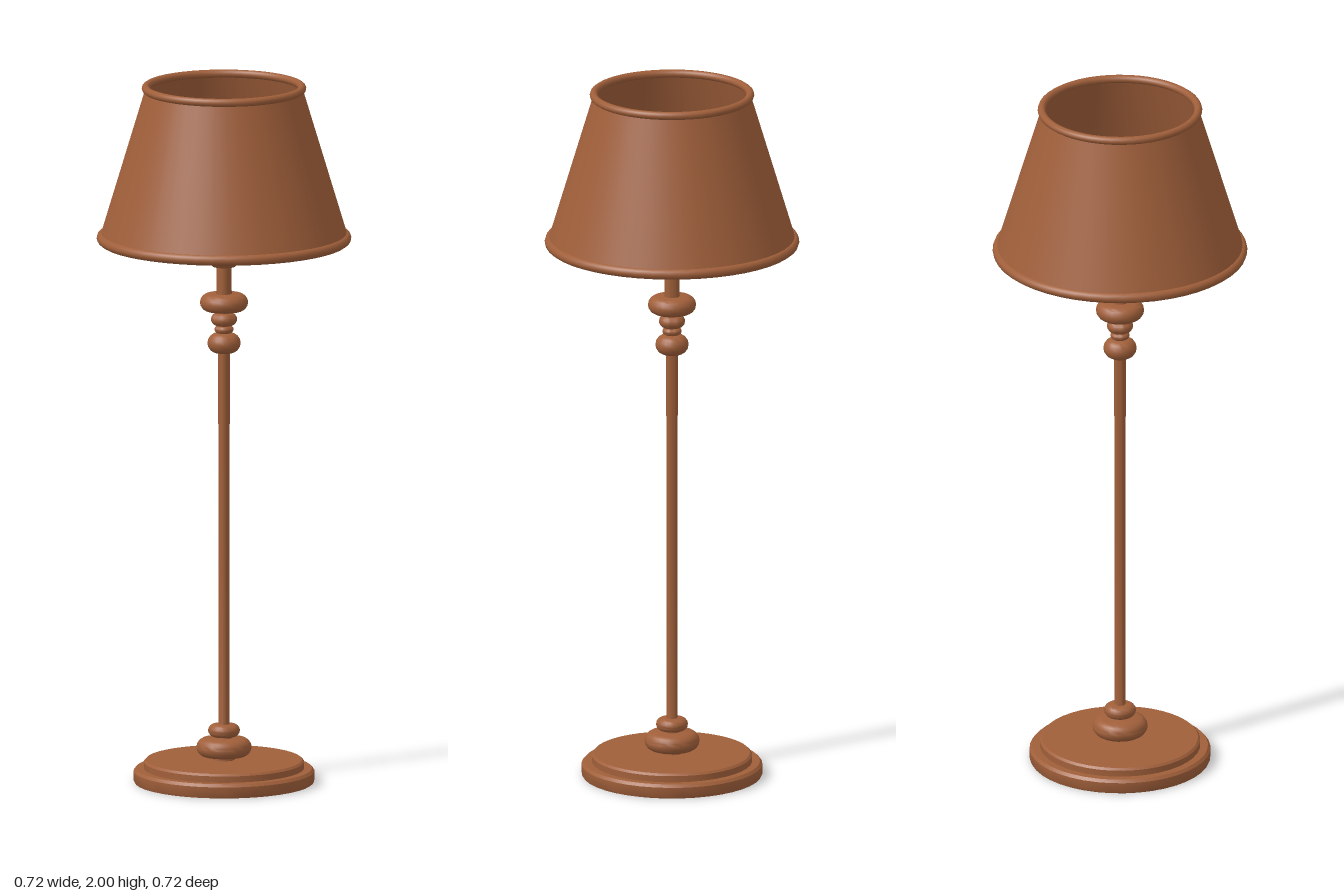
import * as THREE from 'three';
import { toCreasedNormals } from 'three/addons/utils/BufferGeometryUtils.js';

export function createModel() {
  const lamp = new THREE.Group();
  lamp.name = 'floorLamp';
  const brown = new THREE.MeshStandardMaterial({ color: 0xa05f3a });
  brown.name = 'warm brown';

  const add = (name, geometry, y = 0) => {
    const mesh = new THREE.Mesh(geometry, brown);
    mesh.name = name;
    mesh.position.y = y;
    lamp.add(mesh);
    return mesh;
  };
  // Turned part from [radius, height] pairs, listed bottom to top
  const turned = (name, points, segments = 32) => add(name, toCreasedNormals(
    new THREE.LatheGeometry(points.map(([r, y]) => new THREE.Vector2(r, y)), segments), 0.7));
  // Rounded disc: flat core of radius r - h/2 with a half-round edge
  const bead = (name, r, y0, y1) => {
    const h = (y1 - y0) / 2, points = [[0, y0]];
    for (let i = 0; i <= 8; i++) {
      const a = -Math.PI / 2 + (i / 8) * Math.PI;
      points.push([r - h + h * Math.cos(a), (y0 + y1) / 2 + h * Math.sin(a)]);
    }
    points.push([0, y1]);
    turned(name, points, 24);
  };

  // Stepped round foot
  turned('base', [[0, 0], [0.252, 0], [0.255, 0.006], [0.255, 0.032], [0.248, 0.04],
    [0.226, 0.04], [0.226, 0.058], [0.22, 0.064], [0, 0.064]], 40);

  // Pole with its turned collars
  turned('pole', [[0.03, 0.06], [0.03, 0.078], [0.022, 0.13], [0.015, 0.165],
    [0.015, 0.7], [0.017, 1.24]], 16);
  bead('lowerCollar', 0.078, 0.074, 0.126);
  bead('lowerRing', 0.045, 0.13, 0.166);
  bead('upperBead', 0.047, 1.23, 1.287);
  bead('smallRing', 0.027, 1.287, 1.308);
  bead('middleRing', 0.037, 1.308, 1.345);
  bead('upperCollar', 0.068, 1.35, 1.4);
  turned('neck', [[0.018, 1.27], [0.022, 1.4], [0.02, 1.5]], 16);

  // Socket, bulb and the bar that carries the shade
  turned('socket', [[0, 1.478], [0.032, 1.478], [0.047, 1.492], [0.054, 1.512], [0.054, 1.54],
    [0.045, 1.56], [0.025, 1.572], [0.022, 1.61]], 24);
  add('bulb', new THREE.SphereGeometry(0.052, 24, 16), 1.642);
  const bar = add('shadeBar', new THREE.CylinderGeometry(0.01, 0.01, 0.68, 10), 1.56);
  bar.rotation.z = Math.PI / 2;
  bar.position.z = 0.005;

  // Thin closed shade wall: outside going up, inside coming down
  turned('shade', [[0.35, 1.56], [0.222, 1.985], [0.217, 1.985], [0.343, 1.56], [0.35, 1.56]], 48);

  // Rolled rims
  const rim = (name, radius, y, tube) => {
    const geometry = new THREE.TorusGeometry(radius, tube, 10, 48);
    geometry.rotateX(Math.PI / 2);
    add(name, geometry, y);
  };
  rim('bottomRim', 0.344, 1.56, 0.015);
  rim('topRim', 0.2205, 1.9885, 0.0115);

  return lamp;
}
